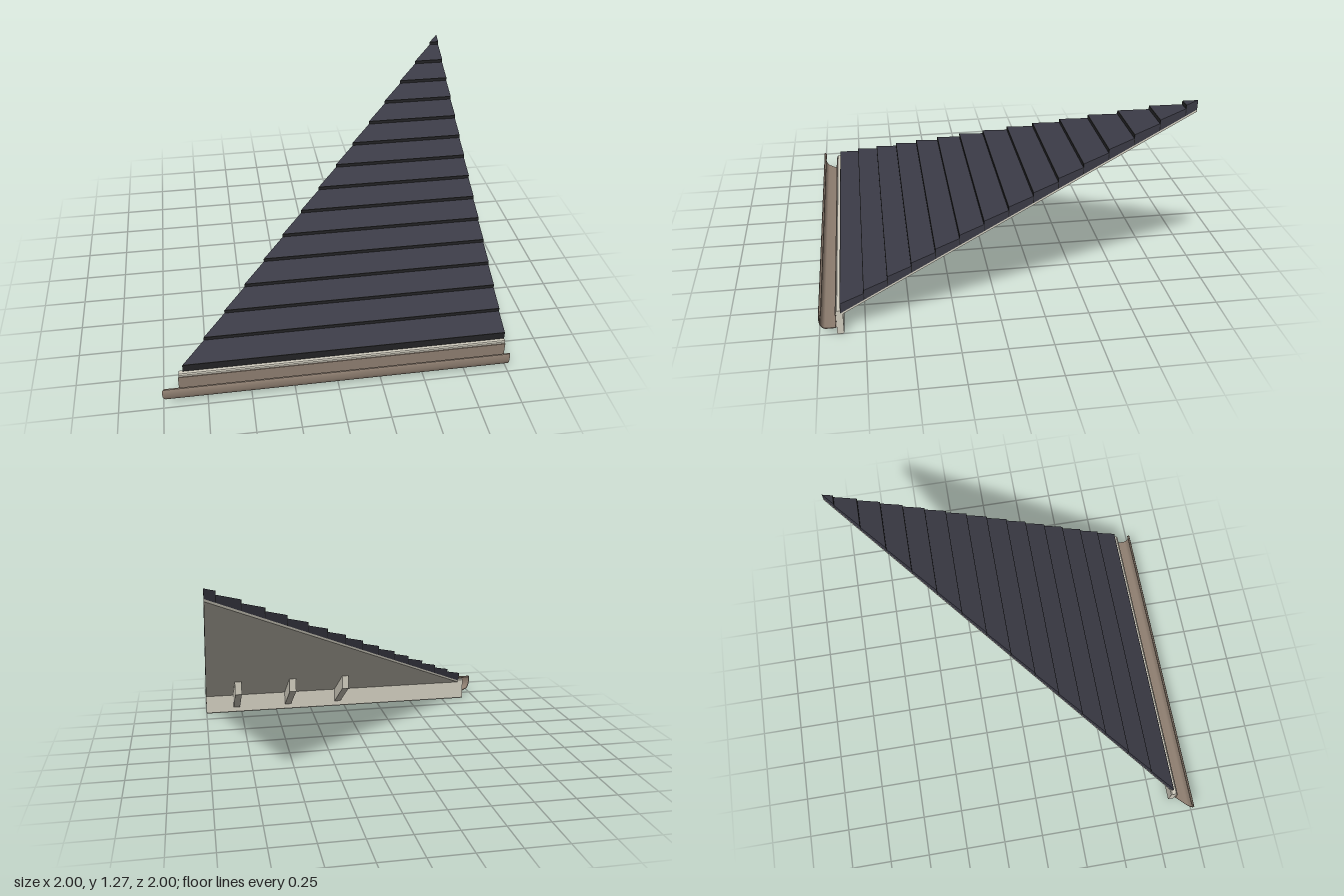
import * as THREE from 'three';
import { toCreasedNormals } from 'three/addons/utils/BufferGeometryUtils.js';

const END = 1;                       // straight cut end
const SLOPE = Math.tan(Math.PI / 6); // roof pitch
const under = (z) => 0.629 - SLOPE * z; // underside of the deck
const hip = (z) => -z;               // mitred end along the hip line

// Sweeps a [z, y] outline along x, from left(z) to right
function sweep(outline, left, right = END) {
  const points = outline.map(([z, y]) => new THREE.Vector2(-z, y));
  const geo = new THREE.ExtrudeGeometry(new THREE.Shape(points), { depth: 1, bevelEnabled: false });
  geo.rotateY(Math.PI / 2);
  const pos = geo.attributes.position;
  for (let i = 0; i < pos.count; i++) {
    const a = left(pos.getZ(i));
    pos.setX(i, a + (right - a) * pos.getX(i));
  }
  geo.computeVertexNormals();
  return geo;
}

// Thickens an open [z, y] line into a closed outline
function thicken(line, t) {
  const side = (s) => line.map(([z, y], i) => {
    const p = line[Math.max(i - 1, 0)], n = line[Math.min(i + 1, line.length - 1)];
    const dz = n[0] - p[0], dy = n[1] - p[1], l = Math.hypot(dz, dy);
    return [z - (s * t * dy) / l / 2, y + (s * t * dz) / l / 2];
  });
  return [...side(1), ...side(-1).reverse()];
}

export function createModel() {
  const mat = (name, color) => {
    const m = new THREE.MeshStandardMaterial({ color });
    m.name = name;
    return m;
  };
  const tile = mat('slate', 0x3b3b46);
  const butt = mat('dark slate edge', 0x232325);
  const cream = mat('cream timber', 0xd2cec0);
  const brown = mat('brown metal', 0x8e7e70);

  const model = new THREE.Group();
  model.name = 'hipRoofCorner';
  const add = (name, geo, material, parent = model) => {
    const mesh = new THREE.Mesh(geo, material);
    mesh.name = name;
    parent.add(mesh);
  };

  // Thin deck under the tiles
  const deckT = 0.013;
  add('deck', sweep([
    [0.875, under(0.875)], [-1, under(-1)], [-1, under(-1) + deckT], [0.875, under(0.875) + deckT],
  ], hip), cream);

  // Stepped courses, each with a dark front edge
  const courses = new THREE.Group();
  courses.name = 'tileCourses';
  model.add(courses);
  const STEP = 0.13, RISE = STEP * SLOPE, EDGE = 0.004;
  for (let k = 0; k < 15; k++) {
    const z0 = 0.88 - STEP * k, z1 = Math.max(z0 - STEP, -1);
    const top = (z) => 0.195 + RISE * k + (z0 - z) * 0.425;
    const slab = (a, b) => sweep([
      [a, under(a) + deckT], [b, under(b) + deckT], [b, top(b)], [a, top(a)],
    ], hip);
    add('tileCourse', slab(z0 - EDGE, z1), tile, courses);
    add('tileEdge', slab(z0, z0 - EDGE), butt, courses);
  }

  // Fascia board with chamfered edges
  const c = 0.006;
  add('fascia', sweep([
    [0.866 + c, 0], [0.904 - c, 0], [0.904, c], [0.904, 0.15 - c],
    [0.904 - c, 0.15], [0.866 + c, 0.15], [0.866, 0.15 - c], [0.866, c],
  ], () => -0.905), cream);

  // Rafter tails under the eave
  for (const x of [0.785, 0.415, 0.05]) {
    const w = 0.0225, d = 0.091;
    add('rafterTail', sweep([
      [0.87, under(0.87) - d], [0.51, under(0.51) - d], [0.51, under(0.51)], [0.87, under(0.87)],
    ], () => x - w, x + w), cream);
  }

  // Open gutter with a curved front and rolled lip
  const line = [[0.907, 0.133], [0.907, 0.048], [0.912, 0.043], [0.962, 0.043]];
  for (let i = 1; i <= 8; i++) {
    const a = (i / 8) * Math.PI / 2;
    line.push([0.962 + 0.035 * Math.sin(a), 0.098 - 0.055 * Math.cos(a)]);
  }
  line.push([0.997, 0.125], [0.994, 0.131], [0.988, 0.131], [0.985, 0.126]);
  add('gutter', toCreasedNormals(sweep(thicken(line, 0.005), hip), 0.6), brown);

  return model;
}
